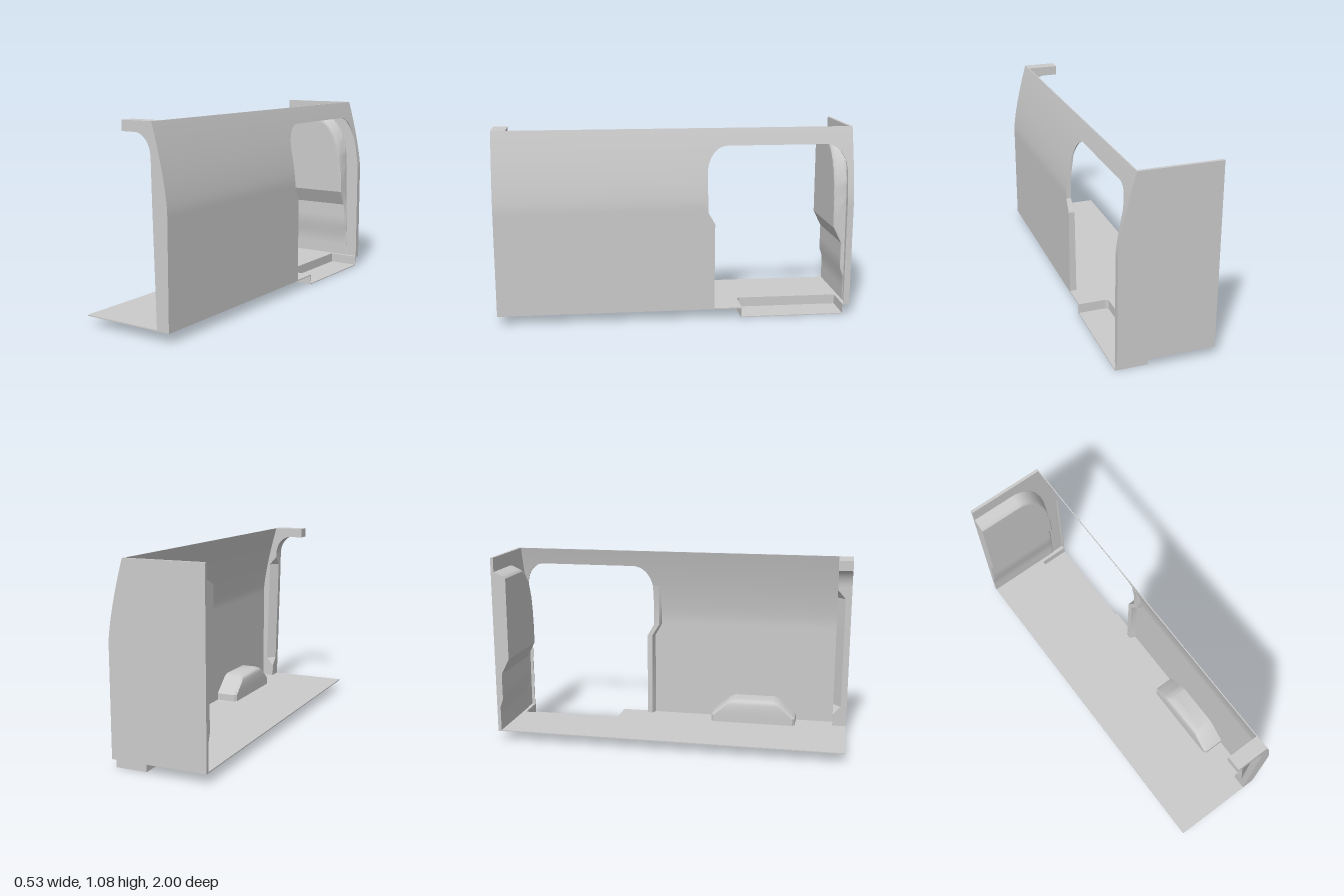
import * as THREE from 'three';
import { toCreasedNormals } from 'three/addons/utils/BufferGeometryUtils.js';

const LEFT = -0.27, FLOOR = 0.06, TOP = 1.075, CUT = 0.98;
const lerp = THREE.MathUtils.lerp;
const range = (a, b, n) => Array.from({ length: n + 1 }, (_, i) => lerp(a, b, i / n));

// Piecewise linear rule through [input, output] pairs
function pw(pts, v) {
  for (let i = 1; i < pts.length; i++) {
    const [a, p] = pts[i - 1], [b, q] = pts[i];
    if (v <= b) return lerp(p, q, Math.max(0, (v - a) / (b - a)));
  }
  return pts[pts.length - 1][1];
}

// Outer skin: upright below, leaning in towards the roof
const wallX = y => 0.264 - (y > 0.65 ? 0.089 * Math.pow((y - 0.65) / 0.425, 1.4) : 0);

export function createModel() {
  const group = new THREE.Group();
  const material = new THREE.MeshStandardMaterial({ color: 0xcccccc, side: THREE.DoubleSide });

  function add(name, geometry) {
    const mesh = new THREE.Mesh(geometry, material);
    mesh.name = name;
    group.add(mesh);
    return mesh;
  }

  // Closed body from rings of [x, z] corners stacked at rising heights
  function loft(name, ys, ringAt, crease = 0.5) {
    const pos = [], idx = [];
    let n = 0;
    for (const y of ys) {
      const ring = ringAt(y);
      n = ring.length;
      for (const [x, z] of ring) pos.push(x, y, z);
    }
    for (let r = 0; r < ys.length - 1; r++) for (let i = 0; i < n; i++) {
      const j = (i + 1) % n, a = r * n + i, b = r * n + j;
      idx.push(a, b, b + n, a, b + n, a + n);
    }
    const t = (ys.length - 1) * n;
    for (let i = 1; i < n - 1; i++) idx.push(0, i + 1, i, t, t + i, t + i + 1);
    const g = new THREE.BufferGeometry();
    g.setAttribute('position', new THREE.Float32BufferAttribute(pos, 3));
    g.setIndex(idx);
    return add(name, toCreasedNormals(g, crease));
  }

  const shapeOf = pts => new THREE.Shape(pts.map(([x, y]) => new THREE.Vector2(x, y)));
  const slab = (pts, depth) =>
    new THREE.ExtrudeGeometry(shapeOf(pts), { depth, bevelEnabled: false });
  // Plan shape in x, z hanging down from height y
  const planSlab = (name, pts, y, depth) =>
    add(name, slab(pts, depth).rotateX(Math.PI / 2).translate(0, y, 0));

  // Side wall in three pieces around the door opening
  const corner = y => {
    const k = Math.max(0, (y - 0.83) / 0.15);
    return 0.115 * (1 - Math.sqrt(Math.max(0, 1 - k * k)));
  };
  const rearEdge = y => pw([[0.55, -0.215], [0.62, -0.175]], y) - corner(y);
  const frontEdge = y => -0.965 + corner(y);
  const wallRing = (za, zb) => y => {
    const x = wallX(y), a = za(y), b = zb(y);
    return [[x - 0.006, b], [x, b], [x, a], [x - 0.006, a]];
  };
  const wallYs = [0.055, 0.55, 0.62, 0.65, ...range(0.68, 0.83, 5),
    ...range(0, Math.PI / 2, 12).slice(1).map(a => 0.83 + 0.15 * Math.sin(a))];
  loft('sideWall', wallYs, wallRing(rearEdge, () => 1));
  loft('sideWallFrontStrip', wallYs, wallRing(() => -1, frontEdge));
  loft('sideWallTopRail', range(CUT, TOP, 5), wallRing(() => -1, () => 1));

  // Pillar behind the door opening
  loft('doorPillar', [FLOOR, 0.15, 0.55, 0.62, 0.75, 0.86], y => {
    const x = wallX(y) - 0.004, z = rearEdge(y) + 0.002;
    const d = pw([[0.15, 0.035], [0.55, 0.03], [0.62, 0.022], [0.86, 0.006]], y);
    return [[x - d, z + 0.03], [x, z + 0.045], [x, z], [x - d, z]];
  });

  // Rear post, its inner corner cut away between tapered ends
  const postX = y => pw([[FLOOR, 0.19], [0.7, 0.172], [0.9, 0.168]], y);
  loft('rearPost', [0.055, 0.13, 0.18, 0.5, 0.65, 0.72, 0.78, 0.83, 0.88, 0.9], y => {
    const c = pw([[0.13, 0.001], [0.18, 0.045], [0.83, 0.045], [0.88, 0.001]], y);
    const xi = postX(y), xo = wallX(y) - 0.002;
    return [[xi, 1], [xo, 1], [xo, 0.92], [xi + c, 0.92], [xi, 0.92 + c]];
  }, 0.3);

  // Curved rear gusset with a short roof beam
  const arc = range(0, Math.PI / 2, 12).map(a =>
    [0.07 + 0.098 * Math.sin(a), 0.9 + 0.12 * Math.cos(a)]);
  const skin = (a, b, n) => range(a, b, n).map(y => [wallX(y) - 0.002, y]);
  add('rearRoofBeam', toCreasedNormals(
    slab([[-0.01, TOP], [-0.01, 1.02], ...arc, ...skin(0.9, TOP, 6)], 0.08), 0.5)
    .translate(0, 0, 0.92));

  // Floor, cut out around the step well
  const r = 0.025;
  const wellPath = t => [[0.262, -0.37 - t],
    ...range(0, Math.PI / 2, 6).map(a =>
      [0.085 + r - (r - t) * Math.sin(a), -0.37 - r + (r - t) * Math.cos(a)]),
    [0.085 + t, -0.965 + t], [0.262, -0.965 + t]];
  planSlab('floor', [[LEFT, -1], [LEFT, 1], [0.264, 1], ...wellPath(0),
    [0.262, -1]], FLOOR, 0.006);
  planSlab('stepWellWalls', [...wellPath(0), ...wellPath(0.004).reverse()], FLOOR, FLOOR);
  planSlab('stepWellTread', wellPath(0), 0.005, 0.005);

  // Wheel arch with sloping ends and a rounded shoulder
  loft('wheelArch', [FLOOR, 0.1, 0.12, 0.17, 0.187, 0.197, 0.2], y => {
    const x = pw([[0.165, 0.133], [0.187, 0.14], [0.197, 0.152], [0.2, 0.17]], y);
    const s = pw([[0.1, 0], [0.12, 0.02], [0.187, 0.1], [0.2, 0.13]], y);
    const a = 0.2 + s, b = 0.7 - s, c = 0.015;
    return [[x + c, b], [0.262, b], [0.262, a], [x + c, a], [x, a + c], [x, b - c]];
  }, 0.6);

  // Bulkhead back plate following the skin
  add('bulkheadPlate', toCreasedNormals(
    slab([[LEFT, 0.055], [0.261, 0.055], ...skin(0.65, TOP, 12), [LEFT, TOP]], 0.017), 0.5)
    .translate(0, 0, -1));

  // Bulkhead pressing: stepped panel with rounded upper rim
  const PAD = 0.995, BASE = -0.984;
  const padEdge = y => y < 0.7 ? lerp(0.19, 0.172, (y - FLOOR) / 0.64)
    : -0.02 + 0.192 * Math.sqrt(Math.max(0, 1 - ((y - 0.7) / 0.295) ** 2));
  const steps = [[0.2, -0.98], [0.25, -0.963], [0.4, -0.963], [0.49, -0.917], [1, -0.915]];
  const rim = [...range(FLOOR, 0.7, 60),
    ...range(0, Math.PI / 2, 60).map(a => 0.7 + 0.295 * Math.sin(a))].map(y => [padEdge(y), y]);
  const padZ = (x, y) => {
    let d = x < -0.02 ? PAD - y : 1;
    for (const [ex, ey] of rim) d = Math.min(d, Math.hypot(x - ex, y - ey));
    const w = pw([[0.6, 0.012], [0.9, 0.04]], y);
    const k = Math.min(1, d / w);
    return lerp(BASE, pw(steps, y), Math.sin(k * Math.PI / 2));
  };
  const padYs = [FLOOR, 0.13, 0.2, 0.25, 0.32, 0.4, 0.49, ...range(0.55, 0.7, 3),
    ...range(0, Math.PI / 2, 28).slice(1).map(a => 0.7 + 0.295 * Math.sin(a))];
  loft('bulkheadPanel', padYs, y => {
    const e = padEdge(y);
    const front = range(0, 1, 28).map(u => {
      const x = lerp(LEFT, e, 1 - (1 - u) ** 2);
      return [x, u === 1 ? BASE : padZ(x, y)];
    });
    return [...front, [e, BASE - 0.002], [LEFT, BASE - 0.002]];
  }, 0.45);

  return group;
}
